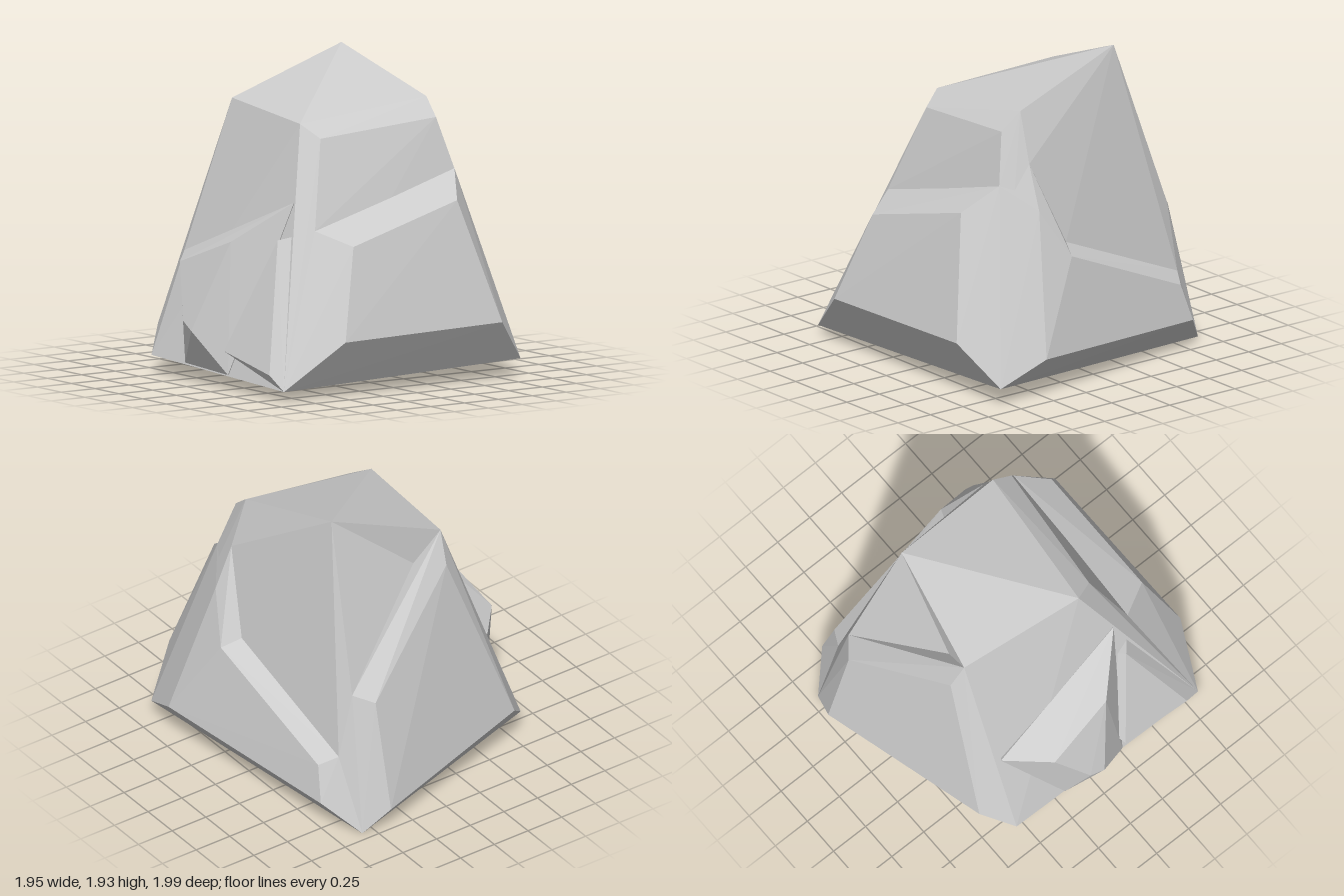
import * as THREE from 'three';
import { ConvexGeometry } from 'three/addons/geometries/ConvexGeometry.js';

// Corners shared by several chunks of the rock
const heart = [0, 0.4, 0];
const peak = [0.43, 1.94, -0.41];
const topFrontL = [0.51, 1.7, 0.37], topFrontR = [-0.38, 1.6, 0.31], topBackR = [-0.3, 1.65, -0.52];
const browL = [0.49, 1.59, 0.5], browR = [-0.32, 1.52, 0.44];
const frontInL = [0.57, 1.28, 0.58], frontInR = [-0.48, 0.99, 0.61];
const sideTop = [0.61, 1.39, 0.38], sideMid = [0.69, 0.87, 0.16], sideBack = [0.62, 0.48, -0.75];
const sideOutMid = [0.81, 0.82, 0.21], sideFoot = [0.97, 0.27, 0.53];
const dent = [-0.12, 1.46, -0.49], backIn = [0.52, 0.89, -0.75];
const baseFL = [0.89, 0.12, 0.82], baseFR = [-0.87, 0.07, 0.84];
const baseBL = [0.58, 0.01, -0.94], baseBR = [-0.86, 0.12, -0.57];
const spurTop = [-0.53, 1.15, 0.46];

// Each chunk is a faceted convex block; overlapping blocks form the ledges
const chunks = {
  body: [topFrontL, topFrontR, topBackR, browL, browR, frontInL, frontInR, baseFL, baseFR, baseBL, baseBR],
  summit: [peak, topFrontL, topFrontR, topBackR, dent, heart],
  leftWall: [peak, topFrontL, dent, backIn, sideTop, sideMid, sideBack, baseFL, baseBL, heart],
  frontSlab: [
    frontInL, frontInR, [0.45, 1.12, 0.78], [-0.35, 0.91, 0.83],
    [0.65, 0.38, 0.97], [-0.52, 0.36, 0.99], baseFL, baseFR, heart,
  ],
  leftSlab: [
    sideMid, sideBack, sideOutMid, [0.73, 0.43, -0.69], [0.76, 0.2, -0.76],
    sideFoot, baseFL, baseBL, heart,
  ],
  leftHorn: [sideTop, sideMid, sideOutMid, [0.72, 1.12, 0.39], sideFoot, baseFL, frontInL, heart],
  backSlab: [
    dent, topBackR, backIn, [-0.28, 1.45, -0.61], [0.41, 0.84, -0.84],
    [0.41, 0.15, -1], [-0.7, 0.28, -0.73], baseBL, baseBR, heart,
  ],
  rightSpur: [
    spurTop, [-0.65, 0.75, -0.52], [-0.86, 0.73, -0.27], [-0.8, 0.9, 0.18],
    [-0.97, 0.4, -0.08], [-0.98, 0.35, 0.02], [-0.87, 0.12, -0.2], [-0.87, 0.1, 0.25], heart,
  ],
  rightFrontSpur: [
    frontInR, [-0.65, 0.93, 0.46], [-0.9, 0.25, 0.25], [-0.9, 0.16, 0.73], baseFR, heart,
  ],
};

export function createModel() {
  const rock = new THREE.Group();
  rock.name = 'rock';
  const stone = new THREE.MeshStandardMaterial({ color: 0xcccccc, flatShading: true });
  for (const [name, corners] of Object.entries(chunks)) {
    const points = corners.map((c) => new THREE.Vector3(...c));
    const mesh = new THREE.Mesh(new ConvexGeometry(points), stone);
    mesh.name = name;
    rock.add(mesh);
  }
  return rock;
}
